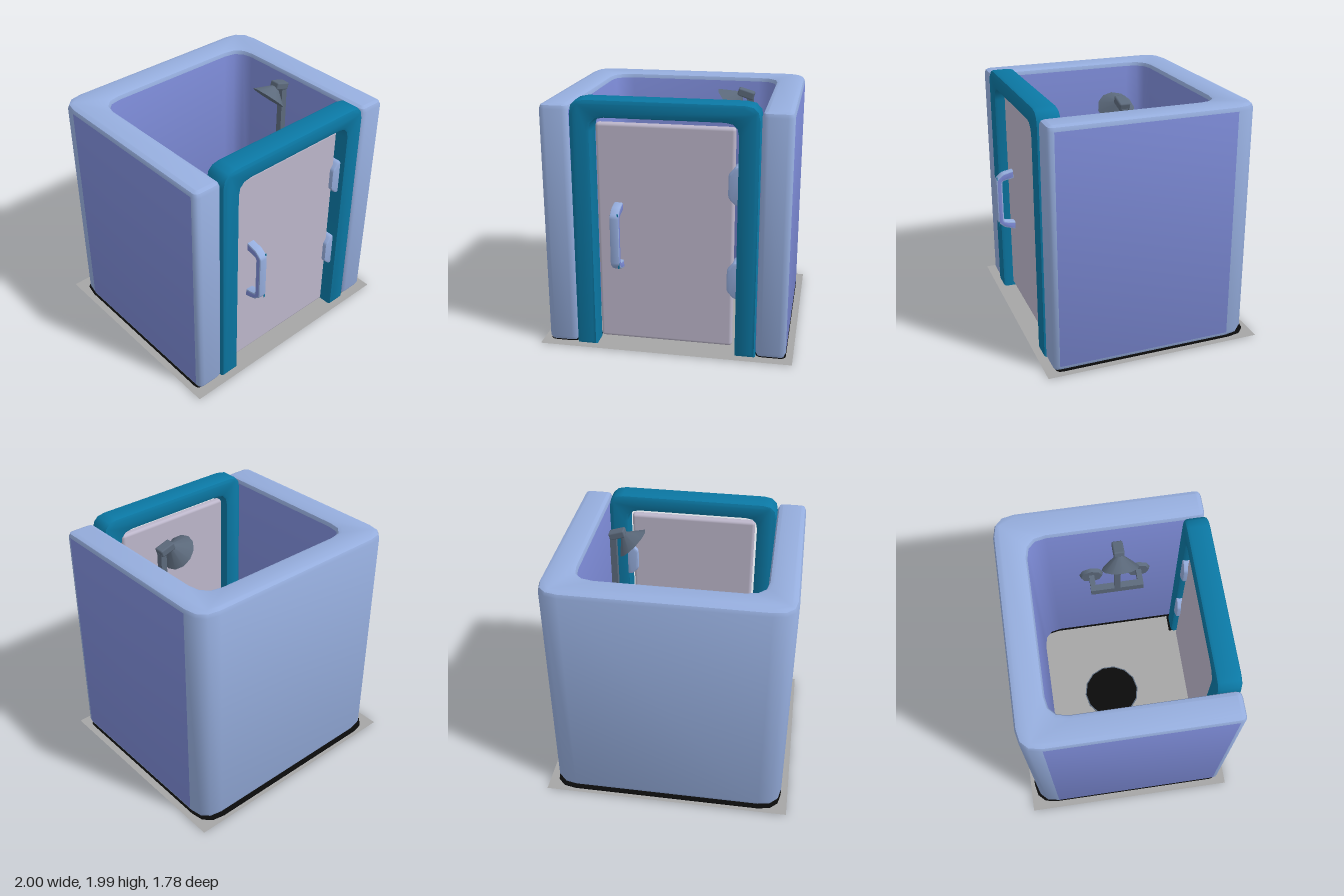
import * as THREE from 'three';
import { toCreasedNormals } from 'three/addons/utils/BufferGeometryUtils.js';
import { RoundedBoxGeometry } from 'three/addons/geometries/RoundedBoxGeometry.js';

const mat = (name, color, side = THREE.FrontSide) => new THREE.MeshStandardMaterial({ name, color, side });

// Closed outline from [x, y, cornerRadius] points
function roundedShape(points) {
  const shape = new THREE.Shape();
  const n = points.length;
  points.forEach(([x, y, r], i) => {
    const p = new THREE.Vector2(x, y);
    const toward = ([qx, qy]) => new THREE.Vector2(qx, qy).sub(p).setLength(r).add(p);
    const a = toward(points[(i + n - 1) % n]);
    const b = toward(points[(i + 1) % n]);
    if (i === 0) shape.moveTo(a.x, a.y); else shape.lineTo(a.x, a.y);
    if (r > 0) shape.quadraticCurveTo(x, y, b.x, b.y);
  });
  shape.closePath();
  return shape;
}

// Extrusion from 0 to depth whose bevel stays inside the outline
function solid(points, depth, bevel) {
  const geo = new THREE.ExtrudeGeometry(roundedShape(points), {
    depth: depth - 2 * bevel, bevelEnabled: bevel > 0, bevelThickness: bevel, bevelSize: bevel,
    bevelOffset: -bevel, bevelSegments: 2, curveSegments: 3,
  });
  return toCreasedNormals(geo.translate(0, 0, bevel), 0.75);
}

// Regroup wall triangles: group 0 is the shell, group 1 the side and inner panels
function splitWallColours(geo) {
  const pos = geo.attributes.position;
  const lists = [[], []];
  const tri = new THREE.Triangle();
  const normal = new THREE.Vector3();
  const mid = new THREE.Vector3();
  for (let i = 0; i < pos.count; i += 3) {
    tri.setFromAttributeAndIndices(pos, i, i + 1, i + 2);
    tri.getNormal(normal);
    tri.getMidpoint(mid);
    const upright = Math.abs(normal.y) < 0.2;
    const inner = Math.abs(mid.x) < 0.8 && mid.z > -0.7 && mid.z < 0.77;
    const panel = upright && (inner || Math.abs(normal.x) > 0.99);
    lists[panel ? 1 : 0].push(i, i + 1, i + 2);
  }
  geo.setIndex([...lists[0], ...lists[1]]);
  geo.clearGroups();
  geo.addGroup(0, lists[0].length, 0);
  geo.addGroup(lists[0].length, lists[1].length, 1);
  return geo;
}

export function createModel() {
  const shell = mat('pale blue', 0x96aede);
  const panel = mat('periwinkle', 0x7b89d4);
  const teal = mat('teal', 0x0b78a4);
  const doorGrey = mat('lilac grey', 0xbdb7cb);
  const metal = mat('slate metal', 0x5c6a7c);
  const floorGrey = mat('floor grey', 0xa6a6a6, THREE.DoubleSide);
  const black = mat('black', 0x0a0a0a);

  const model = new THREE.Group();
  model.name = 'showerStall';
  const add = (name, geo, material, x = 0, y = 0, z = 0, parent = model) => {
    const mesh = new THREE.Mesh(geo, material);
    mesh.name = name;
    mesh.position.set(x, y, z);
    parent.add(mesh);
    return mesh;
  };

  // Floor sheet and drain
  add('floor', new THREE.PlaneGeometry(2, 1.76).rotateX(-Math.PI / 2), floorGrey, 0, 0.004, -0.01);
  add('drainRim', new THREE.CylinderGeometry(0.25, 0.25, 0.006, 14), metal, 0.02, 0.008, -0.03);
  add('drain', new THREE.CylinderGeometry(0.24, 0.24, 0.013, 14), black, 0.02, 0.0065, -0.03);

  // Three-sided wall, drawn in plan with y = -z
  const plan = [
    [-0.945, -0.81, 0.05], [-0.71, -0.81, 0.05], [-0.71, 0.59, 0.16], [0.71, 0.59, 0.16],
    [0.71, -0.81, 0.05], [0.945, -0.81, 0.05], [0.945, 0.83, 0.18], [-0.945, 0.83, 0.18],
  ];
  const wall = solid(plan, 1.932, 0.04).rotateX(-Math.PI / 2);
  add('walls', splitWallColours(wall), [shell, panel], 0, 0.008, 0);
  add('wallFooting', solid(plan, 0.014, 0).rotateX(-Math.PI / 2), black, 0, 0, -0.025);

  // Door frame with pads under its legs
  const frame = [
    [-0.71, 0.003, 0], [-0.55, 0.003, 0], [-0.55, 1.85, 0.1], [0.55, 1.85, 0.1],
    [0.55, 0.003, 0], [0.71, 0.003, 0], [0.71, 1.99, 0.12], [-0.71, 1.99, 0.12],
  ];
  add('doorFrame', solid(frame, 0.19, 0.03), teal, 0, 0, 0.63);
  for (const s of [-1, 1]) {
    add('framePad', new THREE.BoxGeometry(0.15, 0.014, 0.17), black, s * 0.63, 0.007, 0.7);
  }

  // Door
  add('door', new RoundedBoxGeometry(1.05, 1.75, 0.07, 2, 0.025), doorGrey, -0.005, 0.925, 0.705);

  // Hinges with chamfered inner edges, showing on both faces of the door
  const hinge = [[0.58, -0.15, 0], [0.58, 0.15, 0], [0.53, 0.15, 0.02], [0.475, 0.09, 0.02],
    [0.475, -0.09, 0.02], [0.53, -0.15, 0.02]];
  for (const y of [0.62, 1.37]) {
    add('hinge', solid([...hinge].reverse(), 0.14, 0.015), shell, 0, y, 0.635);
  }

  // Pull handle: bracket profile drawn with x = -z
  const handle = [
    [-0.73, 0.65, 0], [-0.83, 0.68, 0.02], [-0.888, 0.73, 0.02], [-0.888, 1.12, 0.02],
    [-0.83, 1.17, 0.02], [-0.73, 1.19, 0], [-0.73, 1.12, 0], [-0.835, 1.1, 0.02],
    [-0.835, 0.74, 0.02], [-0.73, 0.72, 0],
  ];
  add('doorHandle', solid(handle, 0.07, 0.012).rotateY(Math.PI / 2), [panel, shell], -0.4, 0, 0);
  add('handleInlay', new THREE.BoxGeometry(0.012, 0.44, 0.005), teal, -0.338, 0.92, 0.878);

  // Shower fittings on the left wall
  const shower = new THREE.Group();
  shower.name = 'shower';
  model.add(shower);
  for (const z of [-0.1, 0.3]) {
    add('wallFlange', new THREE.CylinderGeometry(0.09, 0.105, 0.04, 8).rotateZ(Math.PI / 2), metal, 0.7, 1.18, z, shower);
    add('supplyPipe', new THREE.BoxGeometry(0.17, 0.06, 0.045), metal, 0.62, 1.18, z, shower);
  }
  add('mixerBar', new THREE.BoxGeometry(0.055, 0.07, 0.44), metal, 0.558, 1.18, 0.1, shower);
  add('riser', new THREE.BoxGeometry(0.05, 0.74, 0.05), metal, 0.555, 1.53, 0.1, shower);
  const arm = add('headArm', new RoundedBoxGeometry(0.13, 0.06, 0.085, 1, 0.012), metal, 0.52, 1.93, 0.1, shower);
  arm.rotation.z = -0.3;
  const head = add('showerHead', toCreasedNormals(new THREE.CylinderGeometry(0.03, 0.145, 0.1, 12), 0.6),
    metal, 0.436, 1.89, 0.1, shower);
  head.rotation.z = -Math.PI / 4;

  return model;
}
